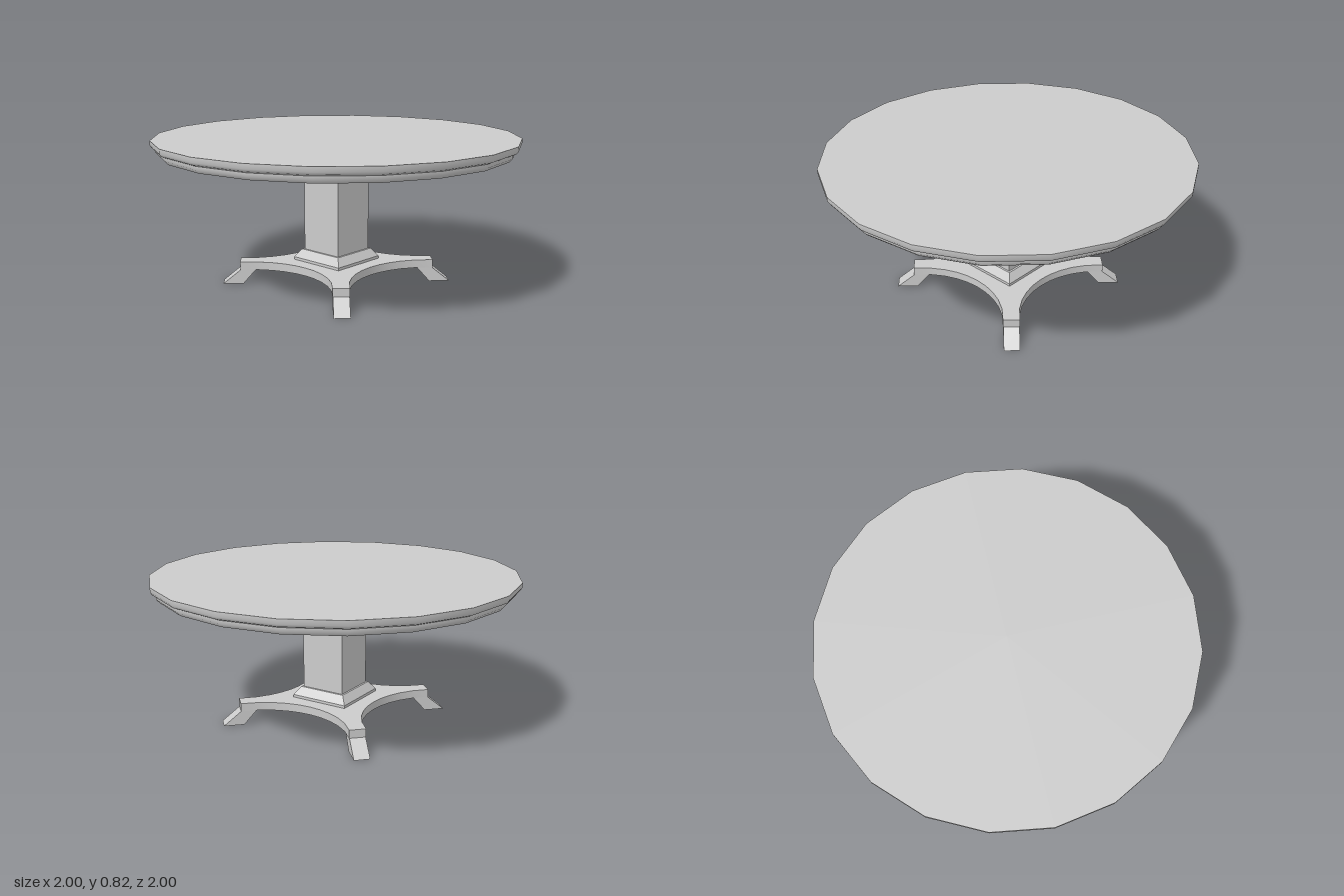
import * as THREE from 'three';
import { toCreasedNormals } from 'three/addons/utils/BufferGeometryUtils.js';

const flat = new THREE.MeshStandardMaterial({ color: 0xcccccc, flatShading: true });
const smooth = new THREE.MeshStandardMaterial({ color: 0xcccccc });

function add(parent, name, geometry, material = flat) {
  const mesh = new THREE.Mesh(geometry, material);
  mesh.name = name;
  parent.add(mesh);
  return mesh;
}

const toPoints = (profile) => profile.map(([r, y]) => new THREE.Vector2(r, y));

// Square stack from [half width, height] pairs, bottom to top
function squareTurned(profile) {
  const points = toPoints(profile.map(([h, y]) => [h * Math.SQRT2, y]));
  return new THREE.LatheGeometry(points, 4, Math.PI / 4);
}

// Four-cornered plate with concave sides and clipped corners
function plateShape(corner, clip, waist) {
  const sag = corner - waist;
  const R = (clip * clip + sag * sag) / (2 * sag);
  const points = [];
  for (let side = 0; side < 4; side++) {
    const c = Math.cos(side * Math.PI / 2), s = Math.sin(side * Math.PI / 2);
    for (let i = 0; i <= 10; i++) {
      const t = clip * (i / 5 - 1);
      const d = waist + R - Math.sqrt(R * R - t * t);
      points.push(new THREE.Vector2(c * d - s * t, s * d + c * t));
    }
  }
  return new THREE.Shape(points);
}

// Splayed block: a box whose corners are moved along its outward axis (+z)
function footGeometry() {
  const g = new THREE.BoxGeometry(0.085, 0.08, 1);
  const p = g.attributes.position;
  for (let i = 0; i < p.count; i++) {
    const top = p.getY(i) > 0, outer = p.getZ(i) > 0;
    p.setZ(i, top ? (outer ? 0.537 : 0.4525) : (outer ? 0.636 : 0.523));
    p.setY(i, top ? 0.08 : 0);
  }
  g.computeVertexNormals();
  return g;
}

export function createModel() {
  const table = new THREE.Group();
  table.name = 'pedestalTable';

  // Twenty-sided top with a moulded rim
  const rim = [[0, 0.742], [0.955, 0.742], [0.972, 0.76], [0.972, 0.778],
    [0.992, 0.787], [1, 0.8], [1, 0.825], [0, 0.825]];
  const top = new THREE.LatheGeometry(toPoints(rim), 20);
  add(table, 'tableTop', toCreasedNormals(top, 0.9), smooth);

  // Square column flaring out under the top
  add(table, 'column', squareTurned([[0, 0.18], [0.126, 0.18], [0.126, 0.627], [0.213, 0.742], [0, 0.742]]));

  // Bevelled plinth at the foot of the column
  add(table, 'plinth', squareTurned([[0, 0.125], [0.168, 0.125], [0.168, 0.14], [0.137, 0.185], [0, 0.185]]));

  // Concave-sided base plate
  const plate = new THREE.ExtrudeGeometry(plateShape(0.413, 0.35, 0.25), { depth: 0.045, bevelEnabled: false });
  plate.rotateX(Math.PI / 2).translate(0, 0.125, 0);
  add(table, 'basePlate', toCreasedNormals(plate, 0.5), smooth);

  // Four splayed feet on the diagonals
  const foot = footGeometry();
  for (let i = 0; i < 4; i++) {
    add(table, 'foot', foot).rotation.y = Math.PI / 4 + i * Math.PI / 2;
  }
  return table;
}
